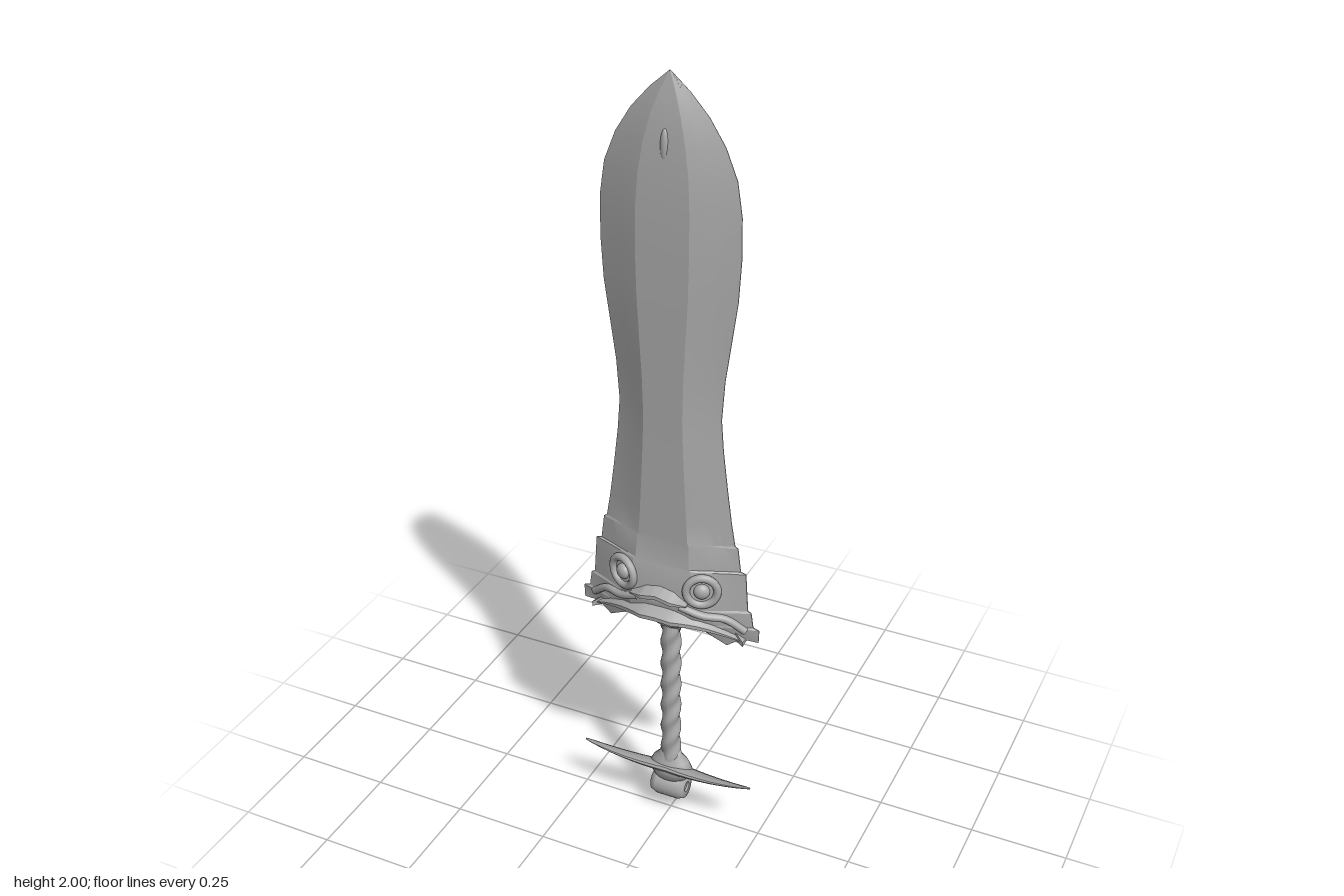
import * as THREE from 'three';
import { toCreasedNormals } from 'three/addons/utils/BufferGeometryUtils.js';

const metal = new THREE.MeshStandardMaterial({ color: 0xaaaaaa });
metal.name = 'grey metal';

function addPart(parent, name, geometry) {
  const mesh = new THREE.Mesh(geometry, metal);
  mesh.name = name;
  parent.add(mesh);
  return mesh;
}

// Skin a row of equal closed cross-sections, cap both ends, face outwards
function loft(rings, crease = 0.5) {
  const n = rings[0].length, pos = rings.flat(2), index = [];
  for (let r = 0; r < rings.length - 1; r++) {
    for (let i = 0; i < n; i++) {
      const a = r * n + i, b = r * n + (i + 1) % n;
      index.push(a, b, a + n, b, b + n, a + n);
    }
  }
  const last = (rings.length - 1) * n;
  // caps run as strips between the two halves of the section
  for (let i = 0; i < n / 2 - 1; i++) {
    const j = (i + 1) % n, k = n - 1 - i, l = n - 2 - i;
    index.push(i, k, j, j, k, l);
    index.push(last + i, last + j, last + k, last + j, last + l, last + k);
  }
  let volume = 0;
  const p = (i) => new THREE.Vector3(pos[i * 3], pos[i * 3 + 1], pos[i * 3 + 2]);
  for (let t = 0; t < index.length; t += 3) {
    volume += p(index[t]).dot(p(index[t + 1]).cross(p(index[t + 2])));
  }
  if (volume < 0) index.reverse();
  const g = new THREE.BufferGeometry();
  g.setAttribute('position', new THREE.Float32BufferAttribute(pos, 3));
  g.setIndex(index);
  return toCreasedNormals(g, crease);
}

// Leaf-shaped blade with bevelled edges, flaring into a stepped guard
function bladeGeometry() {
  // height, half width, half thickness
  const profile = [
    [0.6, 0.237, 0.022], [0.645, 0.238, 0.045], [0.65, 0.222, 0.05], [0.69, 0.216, 0.06],
    [0.695, 0.207, 0.06], [0.75, 0.203, 0.058], [0.798, 0.2, 0.048], [0.802, 0.186, 0.047],
    [0.865, 0.178, 0.042], [0.87, 0.17, 0.042], [0.93, 0.16, 0.041], [1.02, 0.148, 0.041],
    [1.12, 0.136, 0.041], [1.2, 0.13, 0.041], [1.3, 0.137, 0.042], [1.4, 0.151, 0.043],
    [1.5, 0.165, 0.043], [1.6, 0.171, 0.043], [1.7, 0.17, 0.041], [1.78, 0.158, 0.037],
    [1.85, 0.13, 0.031], [1.91, 0.092, 0.023], [1.96, 0.047, 0.012], [2, 0.001, 0.001],
  ];
  const half = [0, 0.38, 0.67, 0.82, 1];
  const lip = [0.62, 0.622, 0.586, 0.612, 0.61];
  const columns = [-4, -3, -2, -1, 0, 1, 2, 3, 4];
  const rings = profile.map(([y, w, d], r) => {
    const point = (c, side) => {
      const k = Math.abs(c), f = half[k];
      const z = d * Math.max(0.03, 1 - Math.max(0, f - 0.38) / 0.62);
      return [Math.sign(c) * f * w, r === 0 ? lip[k] : y, side * z + 0.004];
    };
    return [...columns.map((c) => point(c, 1)), ...columns.slice().reverse().map((c) => point(c, -1))];
  });
  return loft(rings, 0.35);
}

// Pointed ridge that bends across one face of the guard
function ridgeGeometry(reach, yAt, height, depth) {
  const rings = [];
  for (let i = -10; i <= 10; i++) {
    const x = reach * i / 10, a = Math.abs(x);
    const z = 0.093 - 0.45 * Math.max(0, a - 0.04);
    const s = 1 - 0.75 * Math.max(0, a / reach - 0.5) * 2;
    const y = yAt(a);
    rings.push([[x, y + height * s, z - depth], [x, y + 0.005 * s, z],
      [x, y - 0.005 * s, z], [x, y - height * s, z - depth]]);
  }
  return loft(rings, 0.6);
}

function guardFace() {
  const face = new THREE.Group();
  face.name = 'guardFace';
  addPart(face, 'snout', ridgeGeometry(0.075, (a) => 0.727 - a * 0.2, 0.022, 0.045));
  addPart(face, 'archedLip', ridgeGeometry(0.205, (a) => 0.664 - 1.3 * a * a, 0.026, 0.045));
  for (const s of [1, -1]) {
    // Ringed eye lying on the bevel
    const eye = new THREE.Group();
    eye.name = s > 0 ? 'leftEye' : 'rightEye';
    eye.position.set(s * 0.105, 0.75, 0.05);
    eye.rotation.y = s * 0.42;
    addPart(eye, 'eyeRing', new THREE.TorusGeometry(0.038, 0.01, 10, 32));
    addPart(eye, 'eyeball', new THREE.SphereGeometry(0.02, 20, 12)).scale.z = 0.7;
    face.add(eye);
    // Fold running out below the eye
    const fold = new THREE.CatmullRomCurve3([
      new THREE.Vector3(s * 0.055, 0.705, 0.07), new THREE.Vector3(s * 0.11, 0.685, 0.056),
      new THREE.Vector3(s * 0.16, 0.675, 0.032), new THREE.Vector3(s * 0.205, 0.64, 0.012),
    ]);
    addPart(face, 'cheekFold', new THREE.TubeGeometry(fold, 20, 0.01, 8));
  }
  // Small lozenge rib near the blade tip
  const rib = addPart(face, 'tipRib', new THREE.SphereGeometry(1, 12, 12));
  rib.scale.set(0.011, 0.042, 0.01);
  rib.position.set(0, 1.84, 0.03);
  return face;
}

// Grip with a spiral wrap
function gripGeometry() {
  const g = new THREE.CylinderGeometry(0.024, 0.024, 0.44, 24, 110);
  const pos = g.attributes.position;
  for (let i = 0; i < pos.count; i++) {
    const x = pos.getX(i), y = pos.getY(i), z = pos.getZ(i);
    const k = 1 + 0.11 * Math.sin(2 * Math.atan2(z, x) + y * 95);
    pos.setXYZ(i, x * k, y, z * k);
  }
  g.computeVertexNormals();
  return g;
}

// Fin-like cross plate: tilted oval sections from tip to tip
function finGeometry() {
  const rings = [];
  for (let i = -16; i <= 16; i++) {
    const t = Math.abs(i) / 16;
    const x = Math.sign(i) * 0.235 * Math.sin(t * Math.PI / 2);
    const u = Math.abs(x) / 0.235;
    const width = 0.002 + 0.046 * Math.sqrt(Math.max(0, 1 - u ** 2.4)) * (1 - 0.35 * u);
    const thick = 0.002 + 0.013 * (1 - u);
    const ring = [];
    for (let j = 0; j < 12; j++) {
      const a = (j + 0.5) / 12 * Math.PI * 2;
      const p = Math.cos(a) * width, q = Math.sin(a) * thick;
      ring.push([x, 0.134 + 0.032 * u * u + p * 0.5 + q * 0.86, 0.026 * u + p * 0.86 - q * 0.5]);
    }
    rings.push(ring);
  }
  return loft(rings, 0.9);
}

export function createModel() {
  const model = new THREE.Group();
  model.name = 'sword';
  addPart(model, 'blade', bladeGeometry());

  const front = guardFace(), back = guardFace();
  back.rotation.y = Math.PI;
  back.position.z = 0.002;
  model.add(front, back);

  const v = (x, y) => new THREE.Vector2(x, y);
  addPart(model, 'collar', new THREE.LatheGeometry(
    [v(0, 0.575), v(0.026, 0.58), v(0.03, 0.595), v(0.045, 0.605), v(0.05, 0.62), v(0.045, 0.64), v(0, 0.65)], 24,
  )).scale.z = 0.7;
  addPart(model, 'grip', gripGeometry()).position.y = 0.38;

  // Pommel: flared root, fin plate, ring and curled tail
  addPart(model, 'pommelRoot', new THREE.LatheGeometry(
    [v(0, 0.1), v(0.045, 0.11), v(0.06, 0.14), v(0.048, 0.165), v(0.032, 0.182), v(0.023, 0.21), v(0, 0.215)], 24,
  )).scale.z = 0.62;
  addPart(model, 'finPlate', finGeometry());
  const hoop = addPart(model, 'pommelRing', new THREE.LatheGeometry(
    [v(0.014, -0.046), v(0.03, -0.046), v(0.037, -0.03), v(0.037, 0.03), v(0.03, 0.046), v(0.014, 0.046), v(0.014, -0.046)], 24,
  ));
  hoop.rotation.z = Math.PI / 2;
  hoop.position.set(0, 0.083, 0);
  addPart(model, 'pommelPin', new THREE.CylinderGeometry(0.016, 0.016, 0.08, 16)).rotation.z = Math.PI / 2;
  model.getObjectByName('pommelPin').position.y = 0.083;

  const tail = [[0.06, -0.012, 0.03], [0.045, -0.026, 0.029], [0.025, -0.042, 0.027], [0.011, -0.052, 0.02], [0.004, -0.056, 0.008]];
  addPart(model, 'tail', loft(tail.map(([y, z, w]) => {
    const h = 0.007;
    return [[-w, y, z], [-w * 0.6, y + h * 0.6, z + h], [w * 0.6, y + h * 0.6, z + h],
      [w, y, z], [w * 0.6, y - h * 0.5, z - h], [-w * 0.6, y - h * 0.5, z - h]];
  }), 0.8));
  return model;
}
